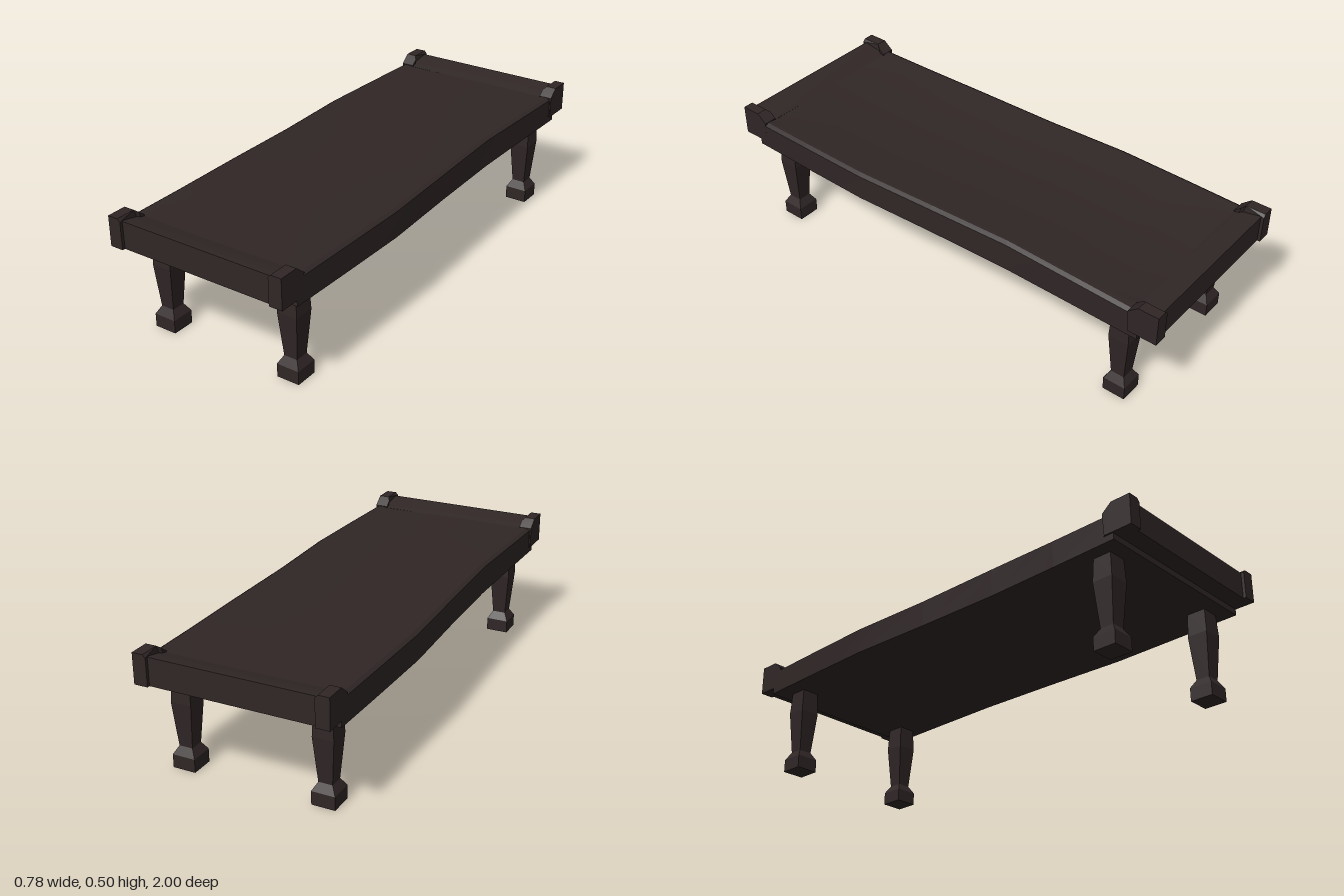
import * as THREE from 'three';
import { toCreasedNormals } from 'three/addons/utils/BufferGeometryUtils.js';

const darkWood = new THREE.MeshStandardMaterial({ color: 0x302626 });
darkWood.name = 'darkWood';

function mesh(name, geometry, crease = 0.3) {
  const m = new THREE.Mesh(toCreasedNormals(geometry, crease), darkWood);
  m.name = name;
  return m;
}

// Hand-hewn long edge: [z, edge x, lip height]; the other edge is the same turned half round
const EDGE = [
  [-0.92, 0.37, 0.466], [-0.65, 0.366, 0.47], [-0.35, 0.363, 0.476], [0, 0.373, 0.47],
  [0.35, 0.388, 0.469], [0.65, 0.382, 0.467], [0.92, 0.375, 0.465],
];

// Slab with wavy sides and a shallow lip, lofted along z
function deckGeometry() {
  const half = (e, h) => [[e, 0.355], [e, h - 0.01], [e - 0.015, h], [e - 0.035, h], [e - 0.05, h - 0.004]];
  const rings = EDGE.map(([z, e, h], i) => {
    const [, e2, h2] = EDGE[EDGE.length - 1 - i];
    const right = half(e, h);
    const left = half(e2, h2).map(([x, y]) => [-x, y]).reverse();
    return [...right, [0, 0.463], ...left].map(([x, y]) => [x, y, z]);
  });
  const n = rings[0].length, last = rings.length - 1;
  const index = [];
  for (let i = 0; i < last; i++) {
    for (let j = 0; j < n; j++) {
      const a = i * n + j, b = i * n + (j + 1) % n;
      index.push(a, b, a + n, b, b + n, a + n);
    }
  }
  for (let j = 1; j < n - 1; j++) {
    index.push(last * n, last * n + j, last * n + j + 1, 0, j + 1, j);
  }
  const g = new THREE.BufferGeometry();
  g.setAttribute('position', new THREE.Float32BufferAttribute(rings.flat(2), 3));
  g.setIndex(index);
  return g;
}

// Extrude a (z, y) profile across x from x0 to x1
function acrossX(profile, x0, x1) {
  const shape = new THREE.Shape(profile.map(([z, y]) => new THREE.Vector2(z, y)));
  const g = new THREE.ExtrudeGeometry(shape, { depth: x1 - x0, bevelEnabled: false });
  return g.rotateY(-Math.PI / 2).translate(x1, 0, 0);
}

// End rail with two raised corner blocks
function tableEnd(name) {
  const end = new THREE.Group();
  end.name = name;
  const rail = [[0.88, 0.38], [0.988, 0.38], [0.988, 0.488], [0.978, 0.488], [0.88, 0.462]];
  end.add(mesh('endRail', acrossX(rail, -0.372, 0.372)));

  const block = [[0.885, 0.38], [1, 0.38], [1, 0.488], [1, 0.5], [0.92, 0.5], [0.905, 0.488], [0.88, 0.467]];
  for (const side of [1, -1]) {
    const g = side > 0 ? acrossX(block, 0.322, 0.376) : acrossX(block, -0.376, -0.322);
    const p = g.attributes.position;
    // Slope the inner face of the raised top
    for (let i = 0; i < p.count; i++) {
      if (p.getY(i) > 0.495 && Math.abs(p.getX(i)) < 0.33) p.setX(i, side * 0.333);
    }
    end.add(mesh(side > 0 ? 'leftCornerBlock' : 'rightCornerBlock', g));
  }
  return end;
}

// Square turned leg with a swollen shaft and a block foot
function legGeometry() {
  const profile = [
    [0, 0], [0.046, 0], [0.046, 0.053], [0.0275, 0.085], [0.0415, 0.262], [0.037, 0.36],
  ].map(([w, y]) => new THREE.Vector2(w * Math.SQRT2, y));
  return new THREE.LatheGeometry(profile, 4).rotateY(Math.PI / 4);
}

export function createModel() {
  const table = new THREE.Group();
  table.name = 'lowTable';
  table.add(mesh('tableTop', deckGeometry()));

  const front = tableEnd('frontEnd');
  const back = tableEnd('backEnd');
  back.rotation.y = Math.PI;
  table.add(front, back);

  for (const [zName, z] of [['front', 0.825], ['back', -0.825]]) {
    for (const [xName, x] of [['Left', 0.287], ['Right', -0.276]]) {
      const leg = mesh(zName + xName + 'Leg', legGeometry(), 0.05);
      leg.position.set(x, 0, z);
      table.add(leg);
    }
  }
  return table;
}
